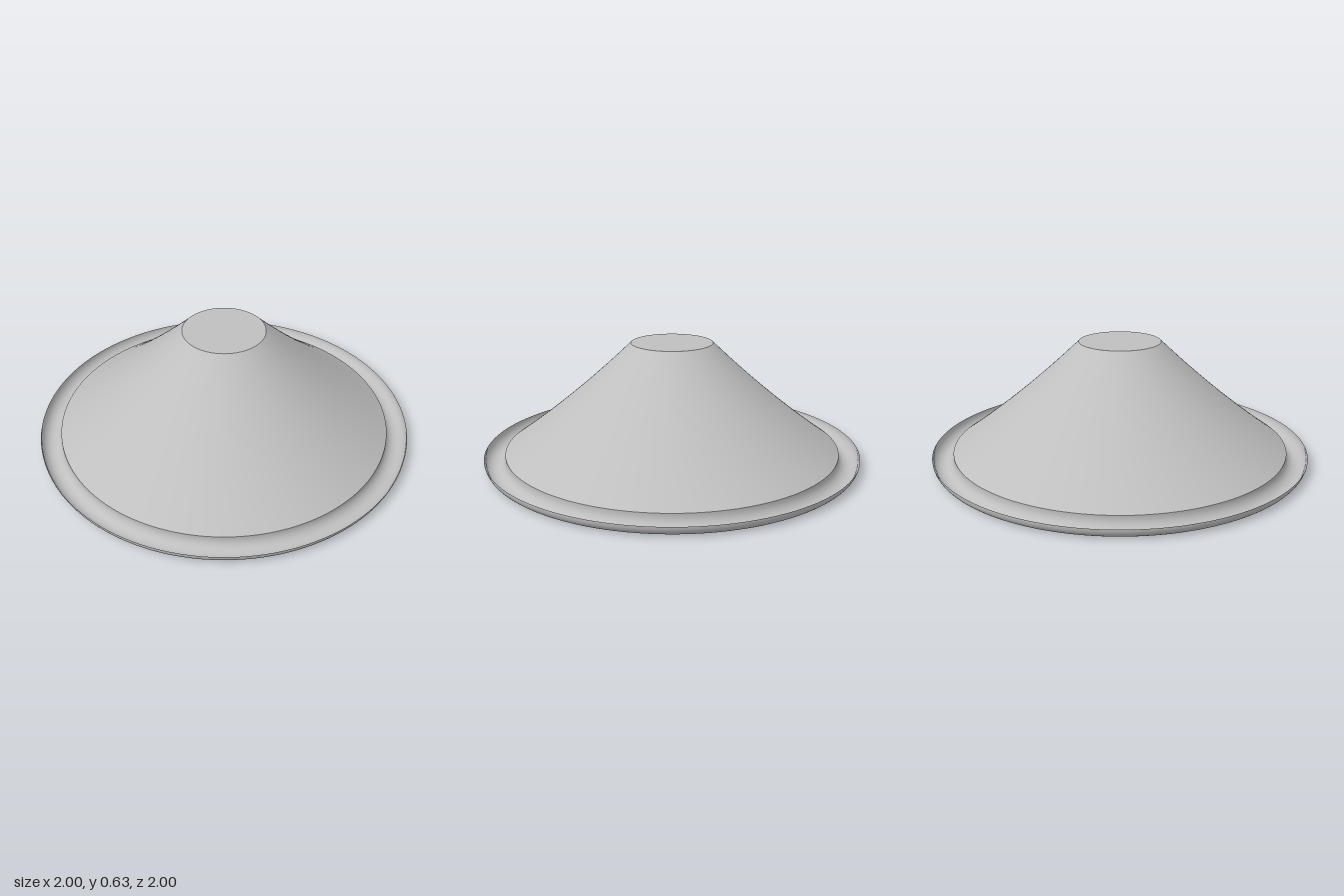
import * as THREE from 'three';

const SEGMENTS = 128;

export function createModel() {
  const model = new THREE.Group();
  const grey = new THREE.MeshStandardMaterial({ color: 0xbfbfbf, side: THREE.DoubleSide });
  grey.name = 'plain grey';

  const addLathe = (name, points) => {
    const mesh = new THREE.Mesh(new THREE.LatheGeometry(points, SEGMENTS), grey);
    mesh.name = name;
    model.add(mesh);
  };

  // Hollow cone wall, sagging slightly between foot and top
  const wall = [];
  for (let i = 0; i <= 20; i++) {
    const t = i / 20;
    const sag = 0.022 * 4 * t * (1 - t);
    wall.push(new THREE.Vector2(0.89 - 0.674 * t, 0.066 + 0.564 * t - sag));
  }
  addLathe('coneWall', wall);

  // Short upright step where the cone meets the rim
  addLathe('footStep', [new THREE.Vector2(0.89, 0.055), new THREE.Vector2(0.89, 0.066)]);

  // Half-round gutter, open upwards
  const gutter = [];
  for (let i = 0; i <= 20; i++) {
    const a = Math.PI * (1 + i / 20);
    gutter.push(new THREE.Vector2(0.945 + 0.055 * Math.cos(a), 0.055 + 0.055 * Math.sin(a)));
  }
  addLathe('rimGutter', gutter);

  // Flat cap closing the top
  const cap = new THREE.Mesh(new THREE.CircleGeometry(0.216, SEGMENTS), grey);
  cap.name = 'topCap';
  cap.rotation.x = -Math.PI / 2;
  cap.position.y = 0.63;
  model.add(cap);

  return model;
}
